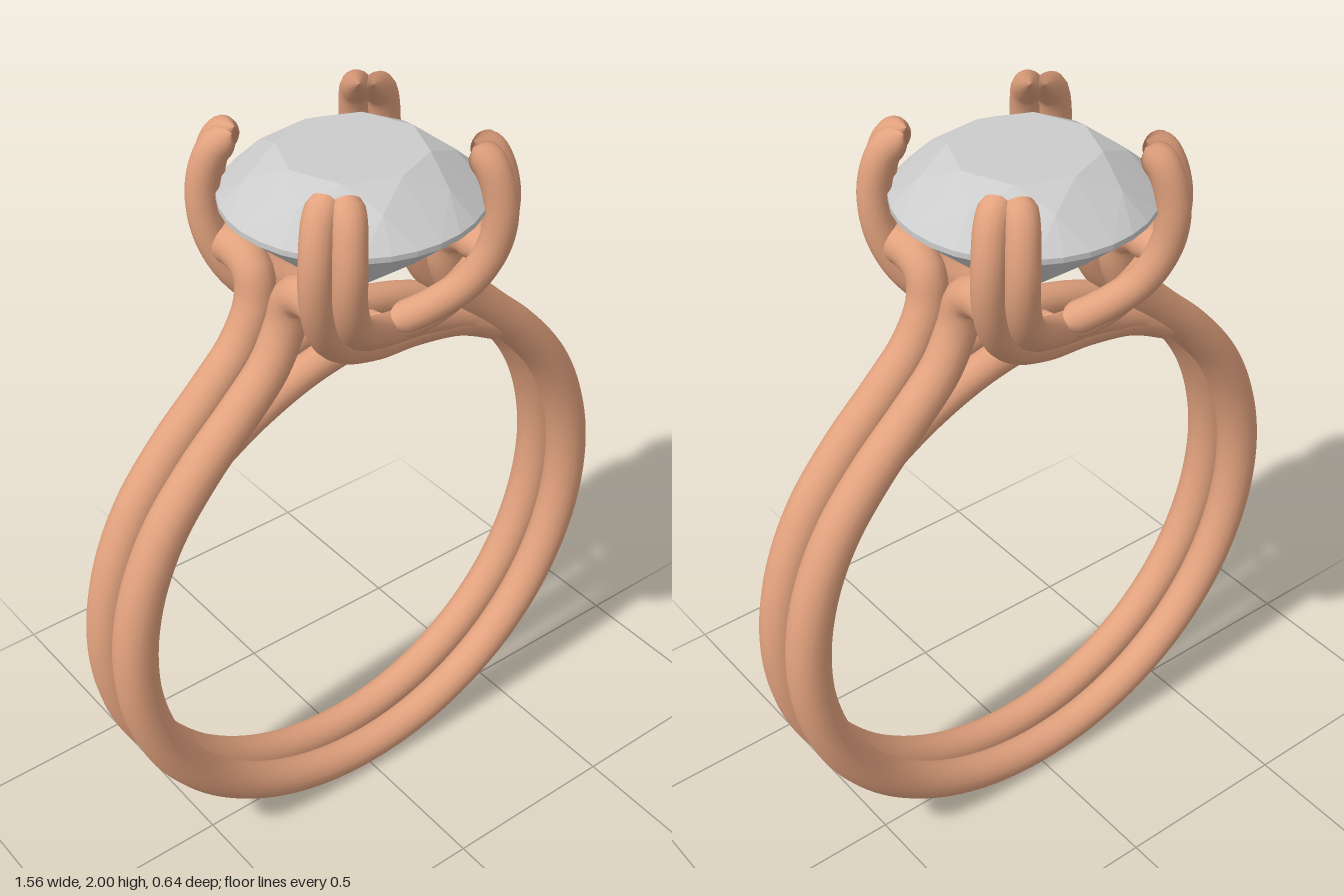
import * as THREE from 'three';
import { ConvexGeometry } from 'three/addons/geometries/ConvexGeometry.js';

const metal = new THREE.MeshStandardMaterial({ color: 0xe2a27e });
const stone = new THREE.MeshStandardMaterial({ color: 0xcccccc, flatShading: true });

// Round wire through the points, with radius(t) and domed ends
function wire(name, points, radius, segments = 64) {
  const curve = new THREE.CatmullRomCurve3(points.map(p => new THREE.Vector3(...p)));
  const sides = 18;
  const geo = new THREE.TubeGeometry(curve, segments, 1, sides);
  const pos = geo.attributes.position, nor = geo.attributes.normal;
  const length = curve.getLength();
  for (let i = 0; i < pos.count; i++) {
    const t = Math.floor(i / (sides + 1)) / segments;
    const r = radius(t);
    const end = Math.min(1, Math.min(t, 1 - t) * length / r);
    const k = r * Math.sqrt(Math.max(0, 1 - (1 - end) ** 2)) - 1;
    pos.setXYZ(i, pos.getX(i) + nor.getX(i) * k, pos.getY(i) + nor.getY(i) * k, pos.getZ(i) + nor.getZ(i) * k);
  }
  geo.computeBoundingSphere();
  const mesh = new THREE.Mesh(geo, metal);
  mesh.name = name;
  return mesh;
}

// Two wires side by side; each point is [x, y, z, offsetX, offsetY, offsetZ]
function twinProng(name, points, radius) {
  const group = new THREE.Group();
  group.name = name;
  for (const s of [-1, 1]) {
    const path = points.map(([x, y, z, a, b, c]) => [x + s * a, y + s * b, z + s * c]);
    group.add(wire(name + 'Strand', path, radius));
  }
  return group;
}

// Front half of the setting and one band wire
function buildHalf() {
  const half = new THREE.Group();

  // Band: shoulder, round the finger, other shoulder
  const shoulder = [
    [0.235, 1.70, 0.22], [0.235, 1.715, 0.14], [0.235, 1.685, 0.08],
    [0.245, 1.61, 0.062], [0.295, 1.51, 0.06], [0.385, 1.415, 0.06],
  ];
  const loop = [];
  for (let i = 0; i <= 20; i++) {
    const a = THREE.MathUtils.degToRad(46 - i * 272 / 20);
    loop.push([0.725 * Math.cos(a), 0.78 + 0.725 * Math.sin(a), 0.06]);
  }
  const mirrored = shoulder.map(([x, y, z]) => [-x, y, z]).reverse();
  half.add(wire('band', [...shoulder, ...loop, ...mirrored],
    t => 0.05 + 0.007 * Math.sin(2 * Math.PI * t) ** 2, 220));

  // Upper part shared by both prongs, from the tip down
  const upper = s => [
    [s * 0.195, 1.985, 0.195, -s * 0.012, 0, 0.012],
    [s * 0.225, 1.95, 0.225, -s * 0.022, 0, 0.022],
    [s * 0.246, 1.85, 0.246, -s * 0.026, 0, 0.026],
    [s * 0.238, 1.74, 0.236, -s * 0.026, 0.005, 0.026],
    [s * 0.195, 1.64, 0.205, -s * 0.024, 0.012, 0.024],
    [s * 0.12, 1.565, 0.16, -s * 0.02, 0.018, 0.016],
  ];

  // Long prong crosses the middle and joins the opposite side of the band
  half.add(twinProng('longProng', [
    ...upper(-1),
    [0, 1.497, 0.105, 0.008, 0.02, 0.008],
    [0.14, 1.46, 0.075, 0.003, 0.014, 0.004],
    [0.3, 1.41, 0.062, 0, 0.004, 0],
    [0.45, 1.33, 0.06, 0, 0, 0],
  ], () => 0.041));

  // Short prong ends where it meets the long one
  half.add(twinProng('shortProng', [
    ...upper(1),
    [0.03, 1.525, 0.115, -0.006, 0.012, 0.006],
  ], () => 0.041));

  // Lower strut from the band to the middle
  half.add(wire('lowerStrut', [
    [-0.48, 1.315, 0.06], [-0.35, 1.39, 0.06], [-0.2, 1.452, 0.062],
    [-0.05, 1.488, 0.068], [0.05, 1.51, 0.085],
  ], () => 0.042));
  return half;
}

// Ring of points for the stone
const ringPoints = (n, r, y, turn = 0) => Array.from({ length: n }, (_, i) => {
  const a = (i + turn) / n * Math.PI * 2;
  return new THREE.Vector3(r * Math.cos(a), y, r * Math.sin(a));
});

export function createModel() {
  const model = new THREE.Group();
  model.name = 'ring';

  const front = buildHalf();
  front.name = 'frontHalf';
  const back = buildHalf();
  back.name = 'backHalf';
  back.rotation.y = Math.PI;
  model.add(front, back);

  // Small ring under the stone
  const base = new THREE.Mesh(new THREE.TorusGeometry(0.075, 0.022, 12, 40), metal);
  base.name = 'baseRing';
  base.rotation.x = Math.PI / 2;
  base.position.y = 1.46;
  model.add(base);

  // Faceted stone: table, crown, girdle, pavilion, culet
  const gem = new THREE.Mesh(new ConvexGeometry([
    ...ringPoints(8, 0.18, 1.96),
    ...ringPoints(8, 0.25, 1.918, 0.5),
    ...ringPoints(32, 0.318, 1.852),
    ...ringPoints(32, 0.318, 1.838),
    ...ringPoints(8, 0.165, 1.7, 0.5),
    new THREE.Vector3(0, 1.58, 0),
  ]), stone);
  gem.name = 'stone';
  model.add(gem);

  return model;
}
